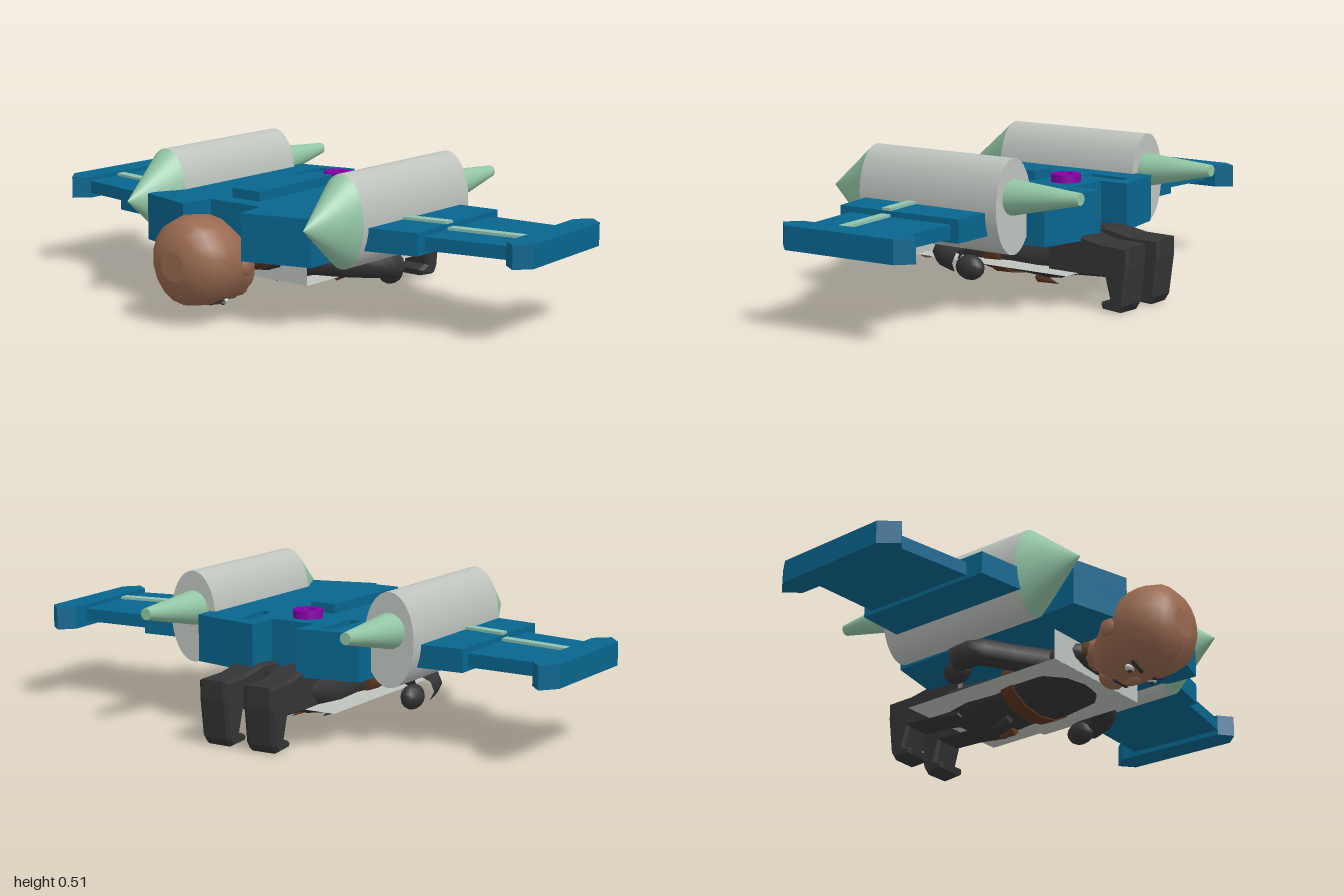
import * as THREE from 'three';

const mat = (name, color, side = THREE.FrontSide) => {
  const m = new THREE.MeshStandardMaterial({ color, side });
  m.name = name;
  return m;
};

export function createModel() {
  const blue = mat('wing blue', 0x08668f);
  const green = mat('pale green', 0x92c5a5);
  const teal = mat('stripe teal', 0x8fc2b0);
  const grey = mat('engine grey', 0xbec3be, THREE.DoubleSide);
  const purple = mat('purple', 0x8800a8);
  const black = mat('suit black', 0x343436);
  const skin = mat('skin brown', 0x98694f);
  const brown = mat('belt brown', 0x5c3520);
  const white = mat('eye white', 0xc9ccc8);

  const root = new THREE.Group();
  root.name = 'wingedFlyer';
  const add = (name, geo, material, parent = root) => {
    const m = new THREE.Mesh(geo, material);
    m.name = name;
    parent.add(m);
    return m;
  };
  const shapeOf = pts => new THREE.Shape(pts.map(p => new THREE.Vector2(...p)));

  // Horizontal plate from an (x, z) outline between two heights
  const plate = (name, pts, y0, y1, material, holes = []) => {
    const s = shapeOf(pts);
    s.holes = holes.map(h => new THREE.Path(h.map(p => new THREE.Vector2(...p))));
    const g = new THREE.ExtrudeGeometry(s, { depth: y1 - y0, bevelEnabled: false });
    return add(name, g.rotateX(Math.PI / 2).translate(0, y1, 0), material);
  };

  // Loft along z through elliptical sections [z, y, rx, ry], front first
  const loft = (secs, cx, sides) => {
    const n = secs.length - 1;
    const g = new THREE.CylinderGeometry(1, 1, 1, sides, n);
    const p = g.attributes.position;
    for (let i = 0; i < p.count; i++) {
      const [z, y, rx, ry] = secs[Math.round((0.5 - p.getY(i)) * n)];
      p.setXYZ(i, cx + p.getX(i) * rx, y - p.getZ(i) * ry, z);
    }
    g.computeVertexNormals();
    return g;
  };
  const ball = (name, r, pos, material) => {
    const m = add(name, new THREE.SphereGeometry(1, 12, 8), material);
    m.scale.set(...r);
    m.position.set(...pos);
    return m;
  };

  // Backpack hull: solid lower layer, upper layer with two slots
  const hull = [[-0.36, 0.4], [-0.145, 0.455], [-0.13, 0.335], [0.09, 0.335], [0.11, 0.455], [0.35, 0.385],
    [0.3, -0.39], [0.05, -0.435], [0.05, -0.32], [-0.115, -0.32], [-0.115, -0.425], [-0.33, -0.38]];
  plate('hullLower', hull, 0.225, 0.34, blue);
  plate('hullUpper', hull, 0.34, 0.385, blue, [
    [[-0.22, -0.36], [-0.175, -0.37], [-0.18, -0.195], [-0.225, -0.205]],
    [[0.1, -0.375], [0.145, -0.365], [0.155, -0.215], [0.115, -0.225]],
  ]);
  plate('spinePad', [[-0.08, -0.135], [0.015, -0.135], [0.03, 0.27], [-0.09, 0.27]], 0.38, 0.418, blue);

  // Round purple button ring
  const ring = new THREE.Shape().absarc(0, 0, 0.051, 0, Math.PI * 2);
  ring.holes.push(new THREE.Path().absarc(0, 0, 0.026, 0, Math.PI * 2));
  add('buttonRing', new THREE.ExtrudeGeometry(ring, { depth: 0.03, bevelEnabled: false, curveSegments: 14 })
    .rotateX(Math.PI / 2).translate(-0.035, 0.412, -0.23), purple);

  // Wings, each with an inner step, outer panel, tip fin and stripe
  const wings = [
    ['right', [[-0.64, -0.26], [-0.34, -0.27], [-0.34, 0.29], [-0.64, 0.25]],
      [[-0.91, -0.235], [-0.63, -0.225], [-0.63, 0.187], [-0.91, 0.143]],
      [[-0.99, -0.28], [-0.945, -0.335], [-0.9, -0.285], [-0.9, 0.145], [-0.95, 0.19], [-1, 0.13]],
      [-0.9, -0.012], [-0.64, 0.026], [-0.48, 0.05]],
    ['left', [[0.33, -0.265], [0.61, -0.285], [0.63, 0.195], [0.33, 0.265]],
      [[0.61, -0.255], [0.885, -0.27], [0.905, 0.1], [0.62, 0.155]],
      [[0.88, -0.33], [0.925, -0.38], [0.978, -0.335], [1, 0.09], [0.955, 0.14], [0.905, 0.1]],
      [0.895, -0.038], [0.62, 0.005], [0.46, 0.032]],
  ];
  for (const [side, inner, outer, tip, a, b, c] of wings) {
    plate(side + 'InnerWing', inner, 0.27, 0.347, blue);
    plate(side + 'OuterWing', outer, 0.283, 0.328, blue);
    plate(side + 'WingTip', tip, 0.265, 0.343, blue);
    const strip = (p, q, y) => plate(side + 'WingStripe',
      [[p[0], p[1] - 0.018], [q[0], q[1] - 0.018], [q[0], q[1] + 0.018], [p[0], p[1] + 0.018]], y, y + 0.009, teal);
    strip(a, b, 0.328);
    strip(b, c, 0.347);
  }

  // Oval engines with pointed nose and tapering exhaust
  for (const [side, x, dz] of [['right', -0.4, 0], ['left', 0.372, -0.005]]) {
    const e = new THREE.Group();
    e.name = side + 'Engine';
    e.position.set(x, 0, dz);
    root.add(e);
    const tube = (r0, r1, len, sides) => new THREE.CylinderGeometry(r0, r1, len, sides).rotateX(Math.PI / 2);
    add('engineBarrel', tube(1, 1, 0.58, 32).scale(0.092, 0.158, 1).translate(0, 0.36, -0.025), grey, e);
    add('engineNose', tube(0, 1, 0.195, 32).scale(0.092, 0.158, 1).translate(0, 0.36, 0.3625), green, e);
    add('engineExhaust', loft([[-0.31, 0.39, 0.06, 0.06], [-0.58, 0.41, 0.02, 0.02]], 0, 20), green, e);
  }

  // Harness of two thin sheets: a tray under the pilot and an upright chest panel
  add('harnessTray', new THREE.PlaneGeometry(0.46, 0.645).rotateX(-Math.PI / 2).translate(-0.022, 0.117, -0.088), grey);
  add('harnessFront', new THREE.PlaneGeometry(0.46, 0.108).translate(-0.022, 0.171, 0.235), grey);

  // Pilot torso, collar, belt and coat tails
  const cx = -0.025;
  add('torso', loft([[0.27, 0.195, 0.09, 0.045], [0.22, 0.185, 0.15, 0.05], [0.12, 0.16, 0.17, 0.08],
    [0, 0.145, 0.16, 0.09], [-0.1, 0.14, 0.135, 0.08], [-0.22, 0.14, 0.145, 0.088],
    [-0.33, 0.16, 0.13, 0.075], [-0.4, 0.18, 0.1, 0.05]], cx, 12), black);
  add('collar', loft([[0.295, 0.2, 0.085, 0.04], [0.255, 0.195, 0.11, 0.05]], cx, 12), brown);
  add('belt', loft([[-0.005, 0.145, 0.166, 0.095], [-0.065, 0.143, 0.155, 0.092]], cx, 12), brown);
  for (const [x, z, m] of [[-0.07, -0.15, black], [0.02, -0.2, brown]]) {
    add('coatTail', new THREE.ConeGeometry(0.02, 0.09, 4).rotateX(-1.75).translate(x, 0.048, z), m);
  }

  // Legs with boots bent down, from a side outline in (z, y)
  const leg = shapeOf([[-0.28, 0.24], [-0.4, 0.248], [-0.5, 0.228], [-0.608, 0.225], [-0.608, 0.16], [-0.592, 0.03],
    [-0.575, 0.003], [-0.505, 0.008], [-0.498, 0.03], [-0.535, 0.045], [-0.515, 0.115], [-0.4, 0.108], [-0.28, 0.09]]);
  for (const [side, x, turn] of [['right', -0.07, 0.03], ['left', 0.07, -0.03]]) {
    add(side + 'Leg', new THREE.ExtrudeGeometry(leg, {
      depth: 0.085, bevelEnabled: true, bevelSize: 0.008, bevelOffset: -0.008, bevelThickness: 0.014, bevelSegments: 1,
    }).rotateY(-Math.PI / 2).translate(0.0425, 0, 0).rotateY(turn).translate(x, 0, 0), black);
  }

  // Arms spread out and bent back
  for (const s of [-1, 1]) {
    const side = s < 0 ? 'right' : 'left';
    const v = (x, y, z) => new THREE.Vector3(cx + s * x, y, z);
    const path = new THREE.CatmullRomCurve3([v(0.12, 0.17, 0.13), v(0.25, 0.165, 0.06), v(0.345, 0.165, 0), v(0.36, 0.15, -0.08)]);
    add(side + 'Arm', new THREE.TubeGeometry(path, 10, 0.047, 8), black);
    ball(side + 'Hand', [0.036, 0.043, 0.055], [cx + s * 0.335, 0.125, -0.09], black);
  }

  // Head pointing forward with the face turned down
  const hx = -0.048;
  add('head', loft([[0.612, 0.21, 0.05, 0.05], [0.6, 0.215, 0.095, 0.1], [0.56, 0.215, 0.138, 0.142], [0.5, 0.215, 0.154, 0.154],
    [0.43, 0.21, 0.152, 0.148], [0.37, 0.185, 0.132, 0.125], [0.32, 0.165, 0.1, 0.092], [0.285, 0.16, 0.065, 0.055]], hx, 18), skin);
  add('neck', loft([[0.36, 0.2, 0.07, 0.065], [0.22, 0.19, 0.075, 0.045]], hx, 12), skin);
  ball('nose', [0.022, 0.025, 0.035], [hx, 0.07, 0.4], skin);
  ball('chin', [0.055, 0.03, 0.035], [hx, 0.09, 0.315], skin);
  add('mouth', new THREE.BoxGeometry(0.07, 0.008, 0.012).translate(hx, 0.067, 0.352), black);
  for (const s of [-1, 1]) {
    ball('eye', [0.022, 0.012, 0.014], [hx + s * 0.06, 0.077, 0.435], white);
    ball('pupil', [0.009, 0.006, 0.009], [hx + s * 0.06, 0.066, 0.435], black);
    const brow = add('eyebrow', new THREE.BoxGeometry(0.06, 0.009, 0.013), black);
    brow.position.set(hx + s * 0.06, 0.074, 0.465);
    brow.rotation.z = s * 0.35;
    ball('ear', [0.012, 0.032, 0.032], [hx + s * 0.145, 0.2, 0.41], skin);
  }
  return root;
}
